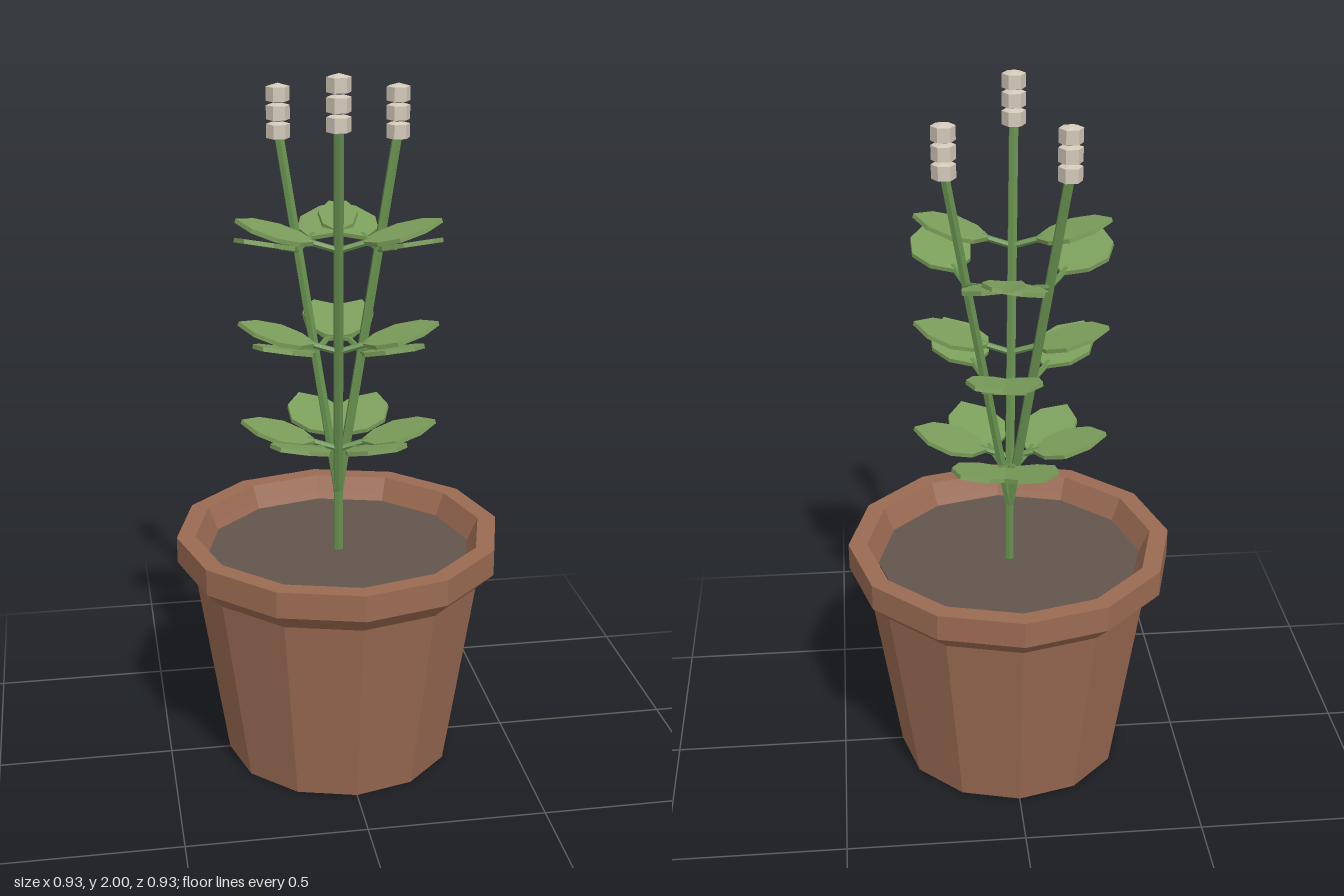
import * as THREE from 'three';

const mat = (name, color) => {
  const m = new THREE.MeshStandardMaterial({ color, flatShading: true });
  m.name = name;
  return m;
};

const mesh = (name, geometry, material) => {
  const m = new THREE.Mesh(geometry, material);
  m.name = name;
  return m;
};

// Faceted surface of revolution from [radius, y] pairs
function lathe(points, sides) {
  const profile = points.map(([r, y]) => new THREE.Vector2(r, y));
  const g = new THREE.LatheGeometry(profile, sides).toNonIndexed();
  g.computeVertexNormals();
  return g;
}

// Thin rod between two points
function rod(name, a, b, r0, r1, material) {
  const d = b.clone().sub(a);
  const m = mesh(name, new THREE.CylinderGeometry(r1, r0, d.length(), 6), material);
  m.position.copy(a).addScaledVector(d, 0.5);
  m.quaternion.setFromUnitVectors(new THREE.Vector3(0, 1, 0), d.normalize());
  return m;
}

// Flat leaf blade lying in the xz plane and pointing along +x
function bladeGeometry() {
  const half = [[0.065, 0], [0.105, 0.06], [0.165, 0.086], [0.235, 0.062], [0.283, 0]];
  const outline = [...half, ...half.slice(1, -1).reverse().map(([u, v]) => [u, -v])];
  const shape = new THREE.Shape(outline.map(([u, v]) => new THREE.Vector2(u, v)));
  const g = new THREE.ExtrudeGeometry(shape, { depth: 0.012, bevelEnabled: false });
  g.rotateX(-Math.PI / 2);
  g.translate(0, -0.006, 0);
  return g;
}

export function createModel() {
  const model = new THREE.Group();
  model.name = 'pottedPlant';
  const clay = mat('clay', 0x9a6a52);
  const earth = mat('earth', 0x63554d);
  const stemGreen = mat('stemGreen', 0x668f4e);
  const leafGreen = mat('leafGreen', 0x7b9e5b);
  const cream = mat('cream', 0xd2c8b8);

  // Pot with flared rim, and soil inside it
  model.add(mesh('pot', lathe([
    [0, 0], [0.326, 0], [0.412, 0.56], [0.463, 0.61], [0.463, 0.685],
    [0.41, 0.685], [0.39, 0.64], [0.376, 0.61],
  ], 12), clay));
  const soil = mesh('soil', new THREE.CircleGeometry(0.379, 12), earth);
  soil.rotation.x = -Math.PI / 2;
  soil.position.y = 0.62;
  model.add(soil);

  // Shared lower stem
  const fork = new THREE.Vector3(0, 0.8, 0);
  model.add(rod('trunk', new THREE.Vector3(0, 0.61, 0), fork, 0.014, 0.014, stemGreen));

  const blade = bladeGeometry();
  const bud = lathe([[0, -0.028], [0.0325, -0.019], [0.0325, 0.019], [0, 0.028]], 6);
  bud.rotateY(Math.PI / 6);

  // Three leaning stems, 120 degrees apart; angles run from +x towards +z
  const stems = [
    { angle: 99, top: 1.872, levels: [0.935, 1.235, 1.53] },
    { angle: 219, top: 1.807, levels: [0.925, 1.2, 1.485] },
    { angle: 339, top: 1.807, levels: [0.925, 1.2, 1.485] },
  ];
  for (const { angle, top, levels } of stems) {
    const a = THREE.MathUtils.degToRad(angle);
    const tip = new THREE.Vector3(0.187 * Math.cos(a), top, 0.187 * Math.sin(a));
    const branch = new THREE.Group();
    branch.name = 'floweringStem';
    branch.add(rod('stem', fork, tip, 0.014, 0.014, stemGreen));

    // Three stacked buds
    for (let i = 0; i < 3; i++) {
      const b = mesh('bud', bud, cream);
      b.position.set(tip.x, top + i * 0.05, tip.z);
      branch.add(b);
    }

    // Opposite leaf pairs, square to the lean of the stem
    for (const y of levels) {
      for (const side of [-1, 1]) {
        const leaf = new THREE.Group();
        leaf.name = 'leaf';
        leaf.position.lerpVectors(fork, tip, (y - fork.y) / (top - fork.y));
        leaf.rotation.set(0, -(a + side * Math.PI / 2), 0.29);
        leaf.add(mesh('blade', blade, leafGreen));
        leaf.add(rod('leafStalk', new THREE.Vector3(0, 0, 0),
          new THREE.Vector3(0.09, 0, 0), 0.009, 0.009, stemGreen));
        branch.add(leaf);
      }
    }
    model.add(branch);
  }
  return model;
}
